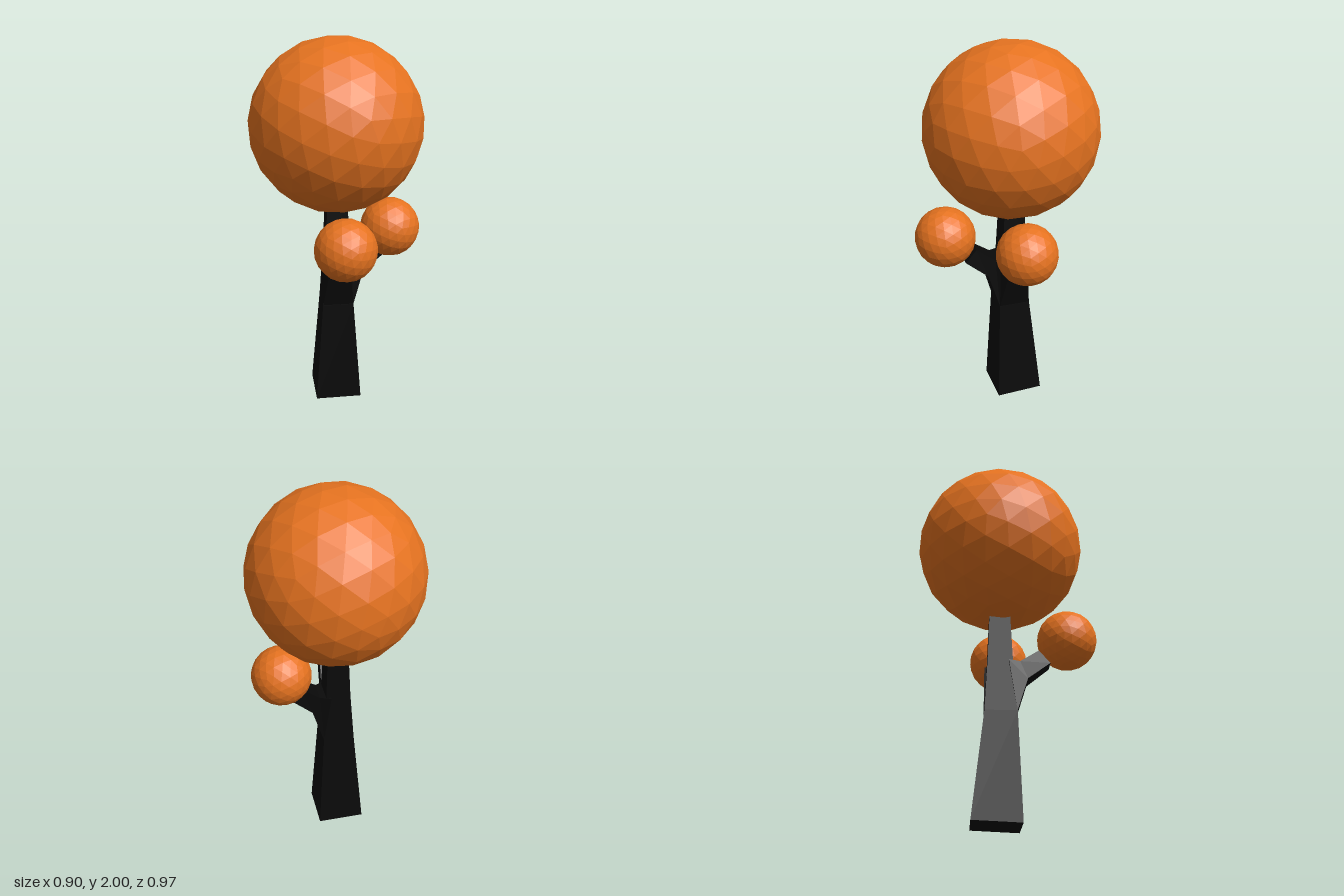
import * as THREE from 'three';

const bark = new THREE.MeshStandardMaterial({ color: 0x0a0a0a, flatShading: true });
const foliage = new THREE.MeshStandardMaterial({ color: 0xe67320, flatShading: true });

// Skin a list of four-cornered rings (counterclockwise seen from the tip) and cap both ends
function loft(rings) {
  const index = [];
  for (let r = 0; r < rings.length - 1; r++) {
    for (let i = 0; i < 4; i++) {
      const a = r * 4 + i, b = r * 4 + (i + 1) % 4;
      index.push(a, b, b + 4, a, b + 4, a + 4);
    }
  }
  const t = (rings.length - 1) * 4;
  index.push(0, 2, 1, 0, 3, 2, t, t + 1, t + 2, t, t + 2, t + 3);
  const geo = new THREE.BufferGeometry();
  geo.setAttribute('position', new THREE.Float32BufferAttribute(rings.flat(2), 3));
  geo.setIndex(index);
  const flat = geo.toNonIndexed();
  flat.computeVertexNormals();
  return flat;
}

// Trunk ring: height, half width, centre depth, lift of the back edge
const trunkRing = (y, h, z, lift = 0) =>
  [[h, y, z + h], [h, y + lift, z - h], [-h, y + lift, z - h], [-h, y, z + h]];

// Branch ring: lower point, upper point, half width
const branchRing = (x0, y0, x1, y1, w) =>
  [[x0, y0, -w], [x1, y1, -w], [x1, y1, w], [x0, y0, w]];

export function createModel() {
  const tree = new THREE.Group();
  tree.name = 'tree';
  const add = (name, geo, mat, x, y, z) => {
    const mesh = new THREE.Mesh(geo, mat);
    mesh.name = name;
    mesh.position.set(x, y, z);
    tree.add(mesh);
    return mesh;
  };

  // Tapered square trunk
  add('trunk', loft([
    trunkRing(0, 0.125, -0.05, 0.01),
    trunkRing(0.57, 0.084, -0.03),
    trunkRing(0.85, 0.066, -0.034),
    trunkRing(1.15, 0.054, -0.037),
  ]), bark, 0, 0, 0);

  // Two bent branches, one to the left and one to the front
  const branch = loft([
    branchRing(0.083, 0.57, 0.04, 0.85, 0.083),
    branchRing(0.14, 0.755, 0.1, 0.85, 0.06),
    branchRing(0.26, 0.85, 0.2, 0.92, 0.045),
  ]);
  add('leftBranch', branch, bark, 0, 0, -0.03);
  add('frontBranch', branch, bark, 0, 0, -0.03).rotation.y = -Math.PI / 2;

  // Faceted balls of leaves
  const ball = (name, r, x, y, z) => {
    const mesh = add(name, new THREE.IcosahedronGeometry(r, 3), foliage, x, y, z);
    mesh.rotation.set(0.3, 0.4, 0.2);
  };
  ball('crown', 0.453, 0, 1.55, -0.034);
  ball('frontLeaves', 0.16, 0, 1.0, 0.326);
  ball('leftLeaves', 0.16, 0.291, 0.985, -0.026);

  return tree;
}
